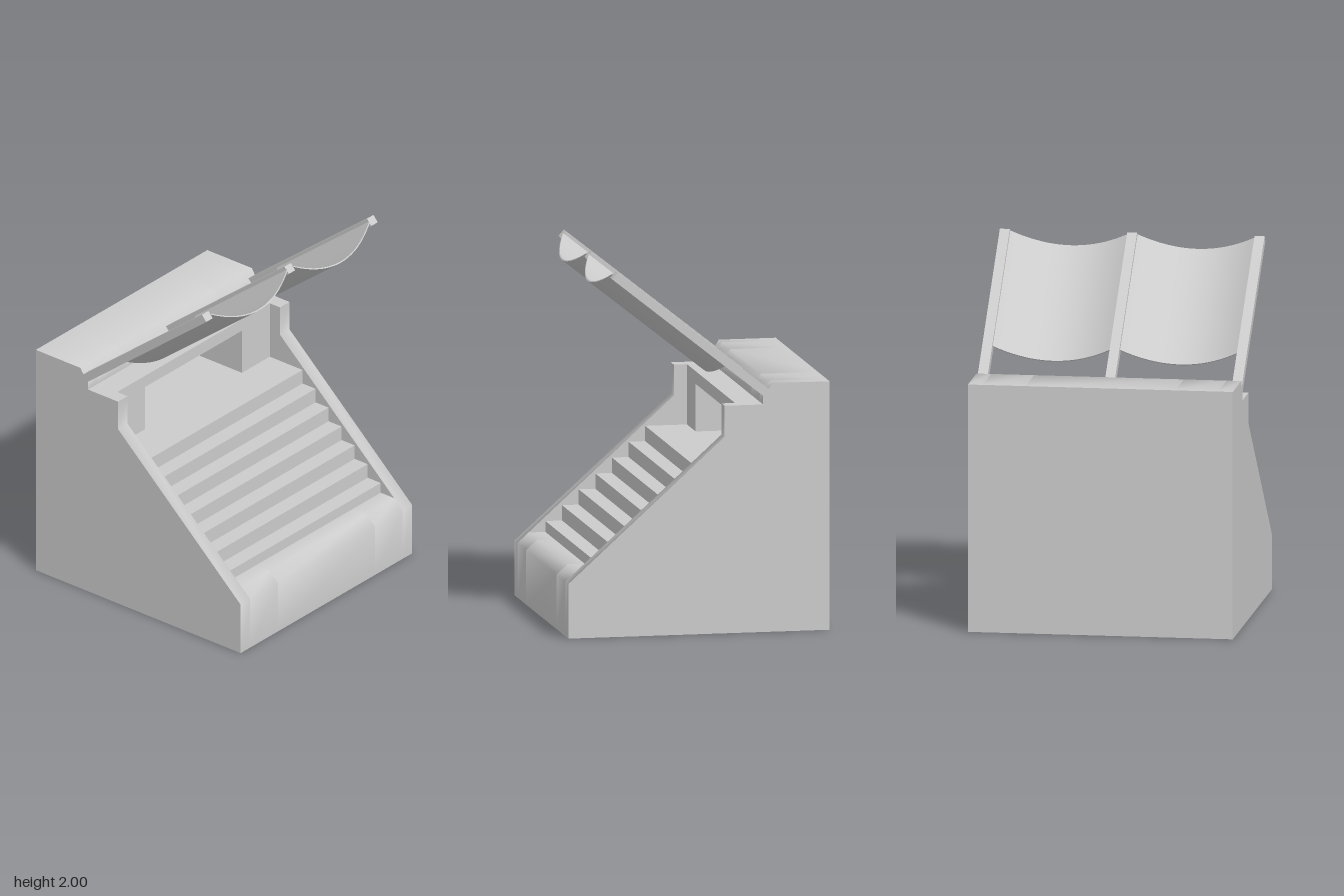
import * as THREE from 'three';
import { toCreasedNormals } from 'three/addons/utils/BufferGeometryUtils.js';

const CREASE = 1.1; // soften the sloped edges, keep right angles sharp

export function createModel() {
  const model = new THREE.Group();
  model.name = 'grandstand';
  const concrete = new THREE.MeshStandardMaterial({ color: 0xcccccc });
  concrete.name = 'concreteGrey';

  // Extrude a side profile of [z, y] points from x0 to x1
  function slab(name, points, x0, x1) {
    const shape = new THREE.Shape(points.map(([z, y]) => new THREE.Vector2(z, y)));
    const geo = new THREE.ExtrudeGeometry(shape, { depth: x1 - x0, bevelEnabled: false });
    geo.rotateY(-Math.PI / 2).translate(x1, 0, 0);
    const mesh = new THREE.Mesh(toCreasedNormals(geo, CREASE), concrete);
    mesh.name = name;
    model.add(mesh);
  }

  // Shared outline of the raised back block, from the back up and forward
  const back = [
    [-0.72, 0], [-0.72, 1.365], [-0.405, 1.365], [-0.385, 1.332],
    [-0.352, 1.298], [-0.352, 1.25],
  ];

  // Side walls
  const wall = [[0.725, 0], ...back, [-0.14, 1.25], [-0.14, 1.08], [0.725, 0.3]];
  slab('rightSideWall', wall, -0.725, -0.645);
  slab('leftSideWall', wall, 0.645, 0.725);

  // Seating steps, from the top landing down to the front parapet
  const tiers = 7, steps = [];
  for (let i = tiers - 1; i >= 0; i--) {
    const z = 0.57 - i * 0.092, top = 0.415 + i * 0.084;
    steps.push([z, top], [z, i ? top - 0.084 : 0.355]);
  }
  steps.push([0.664, 0.355], [0.725, 0.3]);

  // Stands beside the entrance, and the middle with the recessed entrance
  const landing = 0.919;
  const sideStand = [[0.725, 0], ...back, [-0.213, 1.25], [-0.213, landing], ...steps];
  slab('rightStand', sideStand, -0.645, -0.41);
  slab('leftStand', sideStand, 0.41, 0.645);
  slab('middleStand', [
    [0.725, 0], ...back, [-0.213, 1.25], [-0.213, 1.18],
    [-0.55, 1.18], [-0.55, landing], ...steps,
  ], -0.41, 0.41);

  // Roof beams
  const beam = [[-0.352, 1.298], [-0.385, 1.332], [0.452, 2.0], [0.482, 1.965]];
  slab('rightRoofBeam', beam, -0.725, -0.67);
  slab('middleRoofBeam', beam, -0.027, 0.027);
  slab('leftRoofBeam', beam, 0.67, 0.725);

  // Sagging roof canopies between the beams
  const half = 0.323, sag = 0.11, thickness = 0.007, n = 20;
  const top = [], under = [];
  for (let i = 0; i <= n; i++) {
    const u = (i / n) * 2 - 1;
    const y = -sag * (1 - u * u);
    top.push(new THREE.Vector2(u * half, y));
    under.unshift(new THREE.Vector2(u * half, y - thickness));
  }
  const canopyGeo = toCreasedNormals(new THREE.ExtrudeGeometry(
    new THREE.Shape([...top, ...under]), { depth: 0.825, bevelEnabled: false }), 0.6);
  for (const side of [-1, 1]) {
    const canopy = new THREE.Mesh(canopyGeo, concrete);
    canopy.name = side < 0 ? 'rightCanopy' : 'leftCanopy';
    canopy.position.set(side * 0.347, 1.475, -0.178);
    canopy.rotation.x = -Math.atan2(0.665, 0.835);
    model.add(canopy);
  }
  return model;
}
